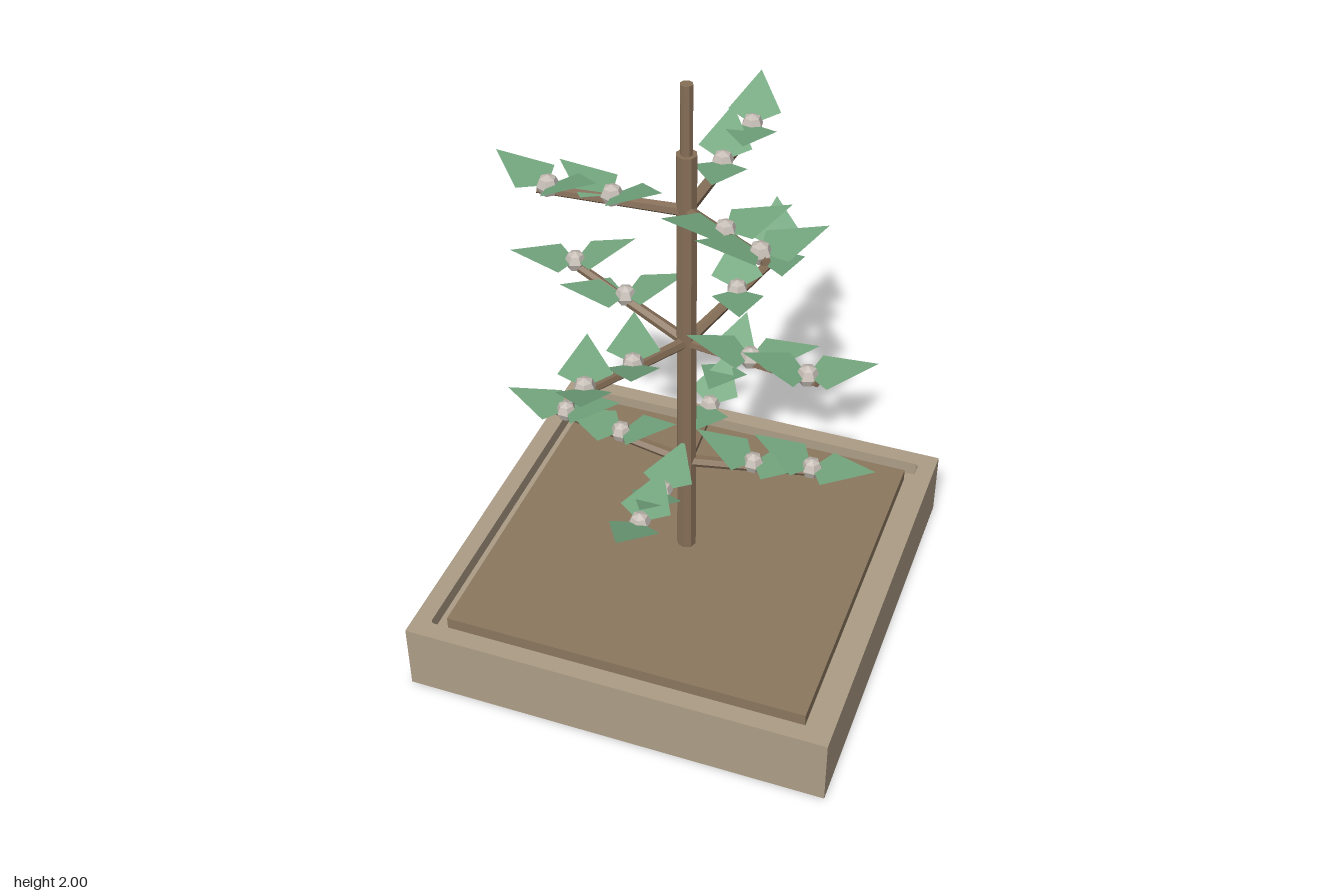
import * as THREE from 'three';

const mat = (name, color, extra = {}) => {
  const m = new THREE.MeshStandardMaterial({ color, ...extra });
  m.name = name;
  return m;
};

export function createModel() {
  const planterMat = mat('planter tan', 0xad9d86, { flatShading: true });
  const soilMat = mat('soil brown', 0x8b785f, { flatShading: true });
  const barkMat = mat('bark brown', 0x866f58, { flatShading: true });
  const budMat = mat('bud grey', 0xc6beb6, { flatShading: true });
  const leafMat = mat('leaf green', 0x74a77f, { flatShading: true, side: THREE.DoubleSide });

  const model = new THREE.Group();
  model.name = 'plantedTree';
  const add = (parent, name, geometry, material, x = 0, y = 0, z = 0) => {
    const mesh = new THREE.Mesh(geometry, material);
    mesh.name = name;
    mesh.position.set(x, y, z);
    parent.add(mesh);
    return mesh;
  };

  // Planter: solid base and a square rim with a softly rounded opening
  add(model, 'planterBase', new THREE.BoxGeometry(1.42, 0.19, 1.42), planterMat, 0, 0.095);
  const rim = new THREE.Shape();
  rim.moveTo(-0.71, -0.71).lineTo(0.71, -0.71).lineTo(0.71, 0.71).lineTo(-0.71, 0.71);
  const opening = new THREE.Path();
  const h = 0.65, c = 0.635;
  opening.absarc(c, c, h - c, 0, Math.PI / 2);
  opening.absarc(-c, c, h - c, Math.PI / 2, Math.PI);
  opening.absarc(-c, -c, h - c, Math.PI, Math.PI * 1.5);
  opening.absarc(c, -c, h - c, Math.PI * 1.5, Math.PI * 2);
  rim.holes.push(opening);
  const rimGeo = new THREE.ExtrudeGeometry(rim, { depth: 0.05, bevelEnabled: false, curveSegments: 3 });
  rimGeo.rotateX(-Math.PI / 2);
  add(model, 'planterRim', rimGeo, planterMat, 0, 0.19);

  // Soil slab, separated from the rim by a narrow groove
  add(model, 'soil', new THREE.BoxGeometry(1.22, 0.05, 1.22), soilMat, 0, 0.21);

  // Trunk and thinner leader
  add(model, 'trunk', new THREE.CylinderGeometry(0.033, 0.033, 1.54, 8), barkMat, 0, 1.0);
  add(model, 'leader', new THREE.CylinderGeometry(0.02, 0.02, 0.25, 8), barkMat, 0, 1.875);

  // Kite-shaped leaf lying along +x from its base
  const kite = new THREE.Shape();
  kite.moveTo(0, 0).lineTo(0.052, -0.083).lineTo(0.213, 0).lineTo(0.052, 0.083);
  const leafGeo = new THREE.ShapeGeometry(kite);
  leafGeo.rotateX(-Math.PI / 2);
  const budGeo = new THREE.SphereGeometry(0.036, 6, 4);

  // Branch tiers: height, number of branches, length, first angle in degrees
  const tiers = [
    { y: 0.6, count: 4, length: 0.46, start: 0 },
    { y: 1.09, count: 4, length: 0.505, start: 20 },
    { y: 1.575, count: 3, length: 0.44, start: 40 },
  ];
  const slope = 0.18;
  for (const tier of tiers) {
    const group = new THREE.Group();
    group.name = 'branchTier';
    model.add(group);
    for (let i = 0; i < tier.count; i++) {
      const a = THREE.MathUtils.degToRad(tier.start) + (i * Math.PI * 2) / tier.count;
      const along = r => new THREE.Vector3(Math.cos(a) * r, tier.y + slope * r, Math.sin(a) * r);
      const end = along(tier.length), root = along(0);
      const dir = end.clone().sub(root);
      const mid = root.clone().add(end).multiplyScalar(0.5);
      const branch = add(group, 'branch', new THREE.CylinderGeometry(0.015, 0.02, dir.length(), 6),
        barkMat, mid.x, mid.y, mid.z);
      branch.quaternion.setFromUnitVectors(new THREE.Vector3(0, 1, 0), dir.normalize());

      // Two buds per branch, each with a shallow leaf and a steeper opposite leaf
      for (const t of [0.5, 0.925]) {
        const p = along(tier.length * t);
        const bud = add(group, 'bud', budGeo, budMat, p.x, p.y + 0.016, p.z);
        bud.rotation.y = a;
        [[0, 0.2], [Math.PI, 0.41]].forEach(([turn, pitch]) => {
          const leaf = add(group, 'leaf', leafGeo, leafMat, p.x, p.y + 0.016, p.z);
          leaf.rotation.set(0, a + turn, pitch, 'YXZ');
        });
      }
    }
  }
  return model;
}
